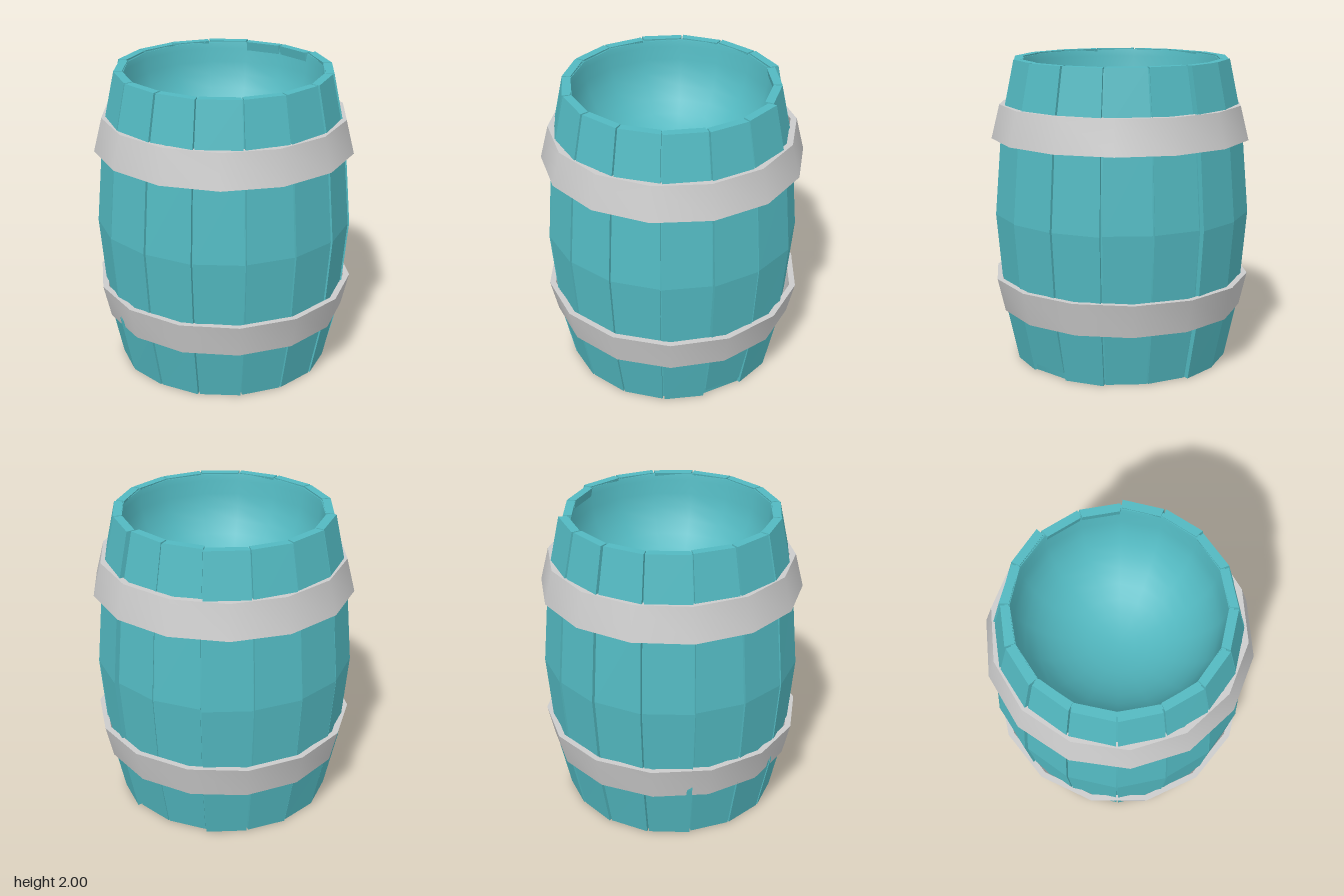
import * as THREE from 'three';
import { toCreasedNormals } from 'three/addons/utils/BufferGeometryUtils.js';

const STAVES = 16;
const STEP = (Math.PI * 2) / STAVES;
const LEVELS = [0, 0.4, 1, 1.6, 2];            // heights of the barrel rings
const RADII = [0.705, 0.79, 0.84, 0.79, 0.705]; // outer radius at each ring

const wood = new THREE.MeshStandardMaterial({ color: 0x52b8c0 });
const flatWood = new THREE.MeshStandardMaterial({ color: 0x52b8c0, flatShading: true });
const metal = new THREE.MeshStandardMaterial({ color: 0xcccccc });

function seeded(seed) {
  return () => {
    seed = (seed * 16807) % 2147483647;
    return seed / 2147483647 - 0.5;
  };
}

function lathe(points, sides, phase = 0, crease = 0.6) {
  const pts = points.map(([r, y]) => new THREE.Vector2(r, y));
  return toCreasedNormals(new THREE.LatheGeometry(pts, sides, phase), crease);
}

function addMesh(parent, name, geometry, material) {
  const mesh = new THREE.Mesh(geometry, material);
  mesh.name = name;
  parent.add(mesh);
  return mesh;
}

// One bent plank: a box wrapped onto the barrel's bulging profile
function staveGeometry(index, offset, tilt, bottom) {
  const geo = new THREE.BoxGeometry(1, 4, 1, 1, 4, 1);
  const pos = geo.attributes.position;
  for (let i = 0; i < pos.count; i++) {
    const level = Math.round(pos.getY(i) + 2);
    const side = pos.getX(i);
    const radius = RADII[level] + offset + side * tilt - (pos.getZ(i) < 0 ? 0.055 : 0);
    const gap = 0.006 / RADII[level];
    const angle = (index + 0.5) * STEP + side * (STEP - 2 * gap);
    const y = level === 0 ? bottom : LEVELS[level];
    pos.setXYZ(i, Math.sin(angle) * radius, y, Math.cos(angle) * radius);
  }
  geo.computeVertexNormals();
  return geo;
}

export function createModel() {
  const group = new THREE.Group();
  group.name = 'barrel';

  // Staves, each set in a little unevenly
  const staves = new THREE.Group();
  staves.name = 'staves';
  group.add(staves);
  const rand = seeded(77);
  for (let i = 0; i < STAVES; i++) {
    const recessed = i === 3 || i === 4;
    const offset = recessed ? -0.025 : rand() * 0.01;
    const tilt = recessed ? 0 : rand() * 0.025;
    const bottom = i === 1 ? 0.05 : 0;
    addMesh(staves, 'stave', staveGeometry(i, offset, tilt, bottom), flatWood);
  }

  // Closed core behind the gaps, with the flat base and the thin rim
  const shell = LEVELS.map((y, i) => [RADII[i] - 0.03, y === 2 ? 1.99 : y]);
  addMesh(group, 'core', lathe([[0, 0.002], ...shell, [0.645, 1.99]], STAVES, 0, 0.45), wood);

  // Smooth hollow inside the rim
  const hollow = [[0.65, 1.995], [0.64, 1.95]];
  for (let i = 1; i <= 10; i++) {
    const a = (i / 10) * Math.PI / 2;
    hollow.push([i === 10 ? 0 : 0.64 * Math.cos(a), 1.95 - 0.58 * Math.sin(a)]);
  }
  addMesh(group, 'hollow', lathe(hollow, STAVES, 0, 1), wood);

  // Two flared hoops, the lower one a flipped copy
  const hoopTurn = THREE.MathUtils.degToRad(4);
  const upper = [[0.81, 1.49], [0.85, 1.49], [0.795, 1.71], [0.755, 1.71], [0.81, 1.49]];
  const lower = [[0.76, 0.355], [0.8, 0.355], [0.85, 0.575], [0.81, 0.575], [0.76, 0.355]];
  addMesh(group, 'upperHoop', lathe(upper, 14, -hoopTurn), metal);
  addMesh(group, 'lowerHoop', lathe(lower, 14, hoopTurn), metal);

  return group;
}
